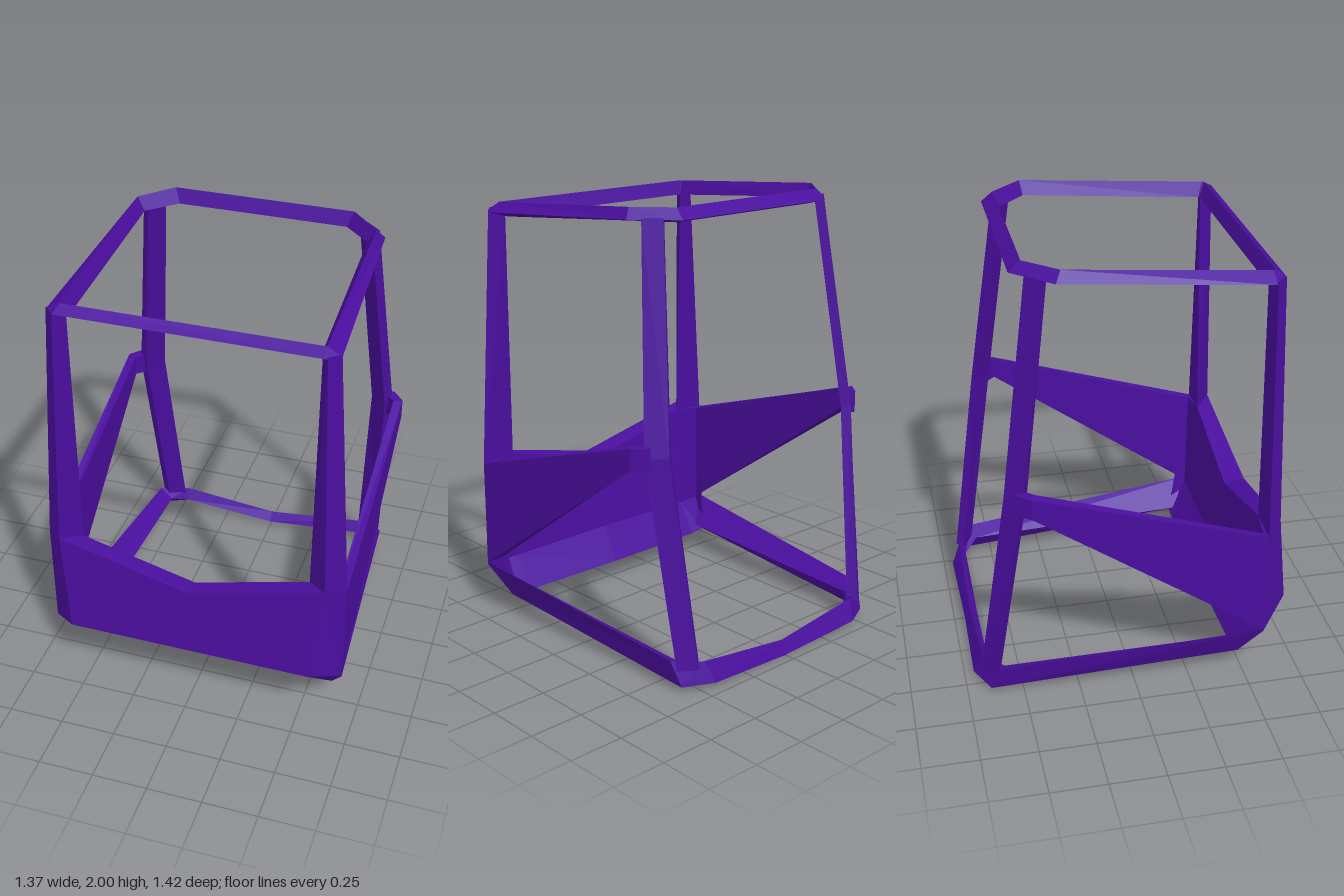
import * as THREE from 'three';

// Joins cross-sections (arrays of [x, y, z]) into a faceted solid, turned outward.
function loft(sections, closed = false) {
  const tris = [], n = sections[0].length, m = sections.length;
  for (let i = 0; i < (closed ? m : m - 1); i++) {
    const p = sections[i], q = sections[(i + 1) % m];
    for (let j = 0; j < n; j++) {
      const k = (j + 1) % n;
      tris.push([p[j], q[j], q[k]], [p[j], q[k], p[k]]);
    }
  }
  if (!closed) {
    const a = sections[0], b = sections[m - 1];
    for (let j = 1; j < n - 1; j++) tris.push([a[0], a[j], a[j + 1]], [b[0], b[j + 1], b[j]]);
  }
  const v = (p) => new THREE.Vector3(...p);
  const volume = tris.reduce((s, [a, b, c]) => s + v(a).dot(v(b).cross(v(c))), 0);
  if (volume < 0) tris.forEach((t) => t.reverse());
  const geo = new THREE.BufferGeometry();
  geo.setAttribute('position', new THREE.Float32BufferAttribute(tris.flat(2), 3));
  geo.computeVertexNormals();
  return geo;
}

const flip = (sections) => sections.map((s) => s.map(([x, y, z]) => [-x, y, z]));
// Continues sections given for one side across the middle to the other side.
const across = (half, middle) => [...half, ...(middle ? [middle] : []), ...flip(half).reverse()];

export function createModel() {
  const group = new THREE.Group();
  const purple = new THREE.MeshStandardMaterial({ color: 0x4a0e9e });
  purple.name = 'purple';

  const add = (name, geo) => {
    const mesh = new THREE.Mesh(geo, purple);
    mesh.name = name;
    group.add(mesh);
  };
  const addPair = (name, sections) => {
    add(name + 'Right', loft(sections));
    add(name + 'Left', loft(flip(sections)));
  };

  // Roof ring: triangular bar with cut rear corners
  add('roofRing', loft(across([
    [[-0.56, 1.9, 0.62], [-0.545, 1.93, 0.575], [-0.525, 1.865, 0.55]],
    [[-0.61, 1.89, 0.57], [-0.55, 1.93, 0.565], [-0.52, 1.865, 0.545]],
    [[-0.575, 1.955, -0.32], [-0.54, 2.0, -0.295], [-0.505, 1.94, -0.285]],
    [[-0.42, 1.955, -0.485], [-0.41, 2.0, -0.435], [-0.385, 1.935, -0.41]],
  ]), true));

  // Front posts: outer, front and inner edge
  addPair('frontPost', [
    [[-0.61, 1.9, 0.57], [-0.565, 1.905, 0.618], [-0.53, 1.88, 0.555]],
    [[-0.685, 0.74, 0.575], [-0.605, 0.77, 0.65], [-0.52, 0.74, 0.575]],
  ]);

  // Rear posts: diagonal flat bars that bulge at the side panels
  addPair('rearPost', [
    [[-0.54, 1.96, -0.37], [-0.475, 1.96, -0.43], [-0.445, 1.96, -0.4], [-0.51, 1.96, -0.345]],
    [[-0.635, 1.01, -0.485], [-0.56, 1.01, -0.555], [-0.525, 1.01, -0.525], [-0.6, 1.01, -0.465]],
    [[-0.585, 0.1, -0.625], [-0.51, 0.1, -0.68], [-0.475, 0.1, -0.645], [-0.55, 0.1, -0.6]],
  ]);

  // Front panel with a V-shaped top edge and a sloping sill below
  add('frontPanel', loft(across([
    [[-0.685, 0.74, 0.575], [-0.685, 0.24, 0.575], [-0.62, 0.1, 0.48],
      [-0.6, 0.11, 0.46], [-0.645, 0.25, 0.555], [-0.645, 0.74, 0.56]],
    [[-0.605, 0.77, 0.65], [-0.55, 0.325, 0.71], [-0.575, 0.1, 0.48],
      [-0.53, 0.1, 0.46], [-0.53, 0.25, 0.55], [-0.52, 0.75, 0.575]],
  ], [[0, 0.625, 0.67], [0, 0.325, 0.71], [0, 0.1, 0.48],
    [0, 0.1, 0.45], [0, 0.26, 0.54], [0, 0.61, 0.575]])));

  // Side panels taper back to the rear posts
  addPair('sidePanel', [
    [[-0.685, 0.74, 0.575], [-0.685, 0.25, 0.575], [-0.645, 0.25, 0.56], [-0.645, 0.74, 0.56]],
    [[-0.685, 1.06, -0.455], [-0.685, 0.965, -0.455], [-0.645, 0.965, -0.435], [-0.645, 1.06, -0.435]],
    [[-0.63, 1.06, -0.52], [-0.63, 0.96, -0.52], [-0.6, 0.96, -0.485], [-0.6, 1.06, -0.485]],
  ]);

  // Lower frame: side rails and the rear bar, dipping in the middle
  add('lowerFrame', loft(across([
    [[-0.685, 0.25, 0.575], [-0.62, 0.1, 0.48], [-0.56, 0.14, 0.47]],
    [[-0.6, 0.145, -0.6], [-0.575, 0.03, -0.645], [-0.53, 0.11, -0.575]],
    [[-0.47, 0.125, -0.67], [-0.44, 0.03, -0.71], [-0.46, 0.07, -0.64]],
  ], [[0, 0.07, -0.675], [0, 0.005, -0.7], [0, 0.03, -0.64]])));

  return group;
}
